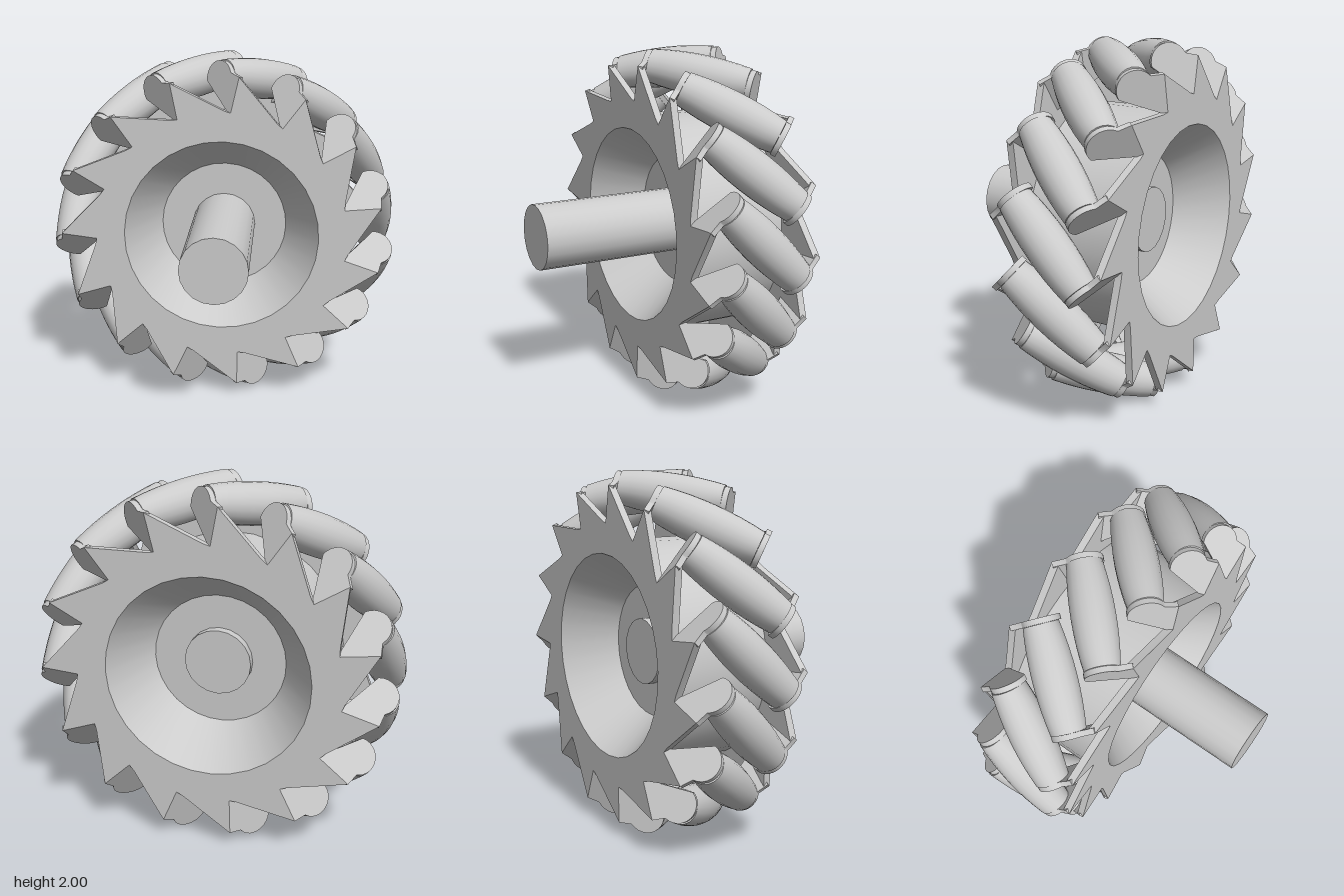
import * as THREE from 'three';
import { toCreasedNormals } from 'three/addons/utils/BufferGeometryUtils.js';

const COUNT = 15;              // rollers around the wheel
const STEP = (Math.PI * 2) / COUNT;
const HALF = 0.33;             // half width of the wheel
const FOLD = -0.11;            // where each tab bends away from its plate
const AXIS_R = 0.885;          // distance of roller axles from the wheel centre

const material = new THREE.MeshStandardMaterial({ color: 0xcccccc });

function part(name, geometry, parent, crease = 0.6) {
  const mesh = new THREE.Mesh(toCreasedNormals(geometry, crease), material);
  mesh.name = name;
  parent.add(mesh);
  return mesh;
}

const lathe = (points, sides) =>
  new THREE.LatheGeometry(points.map(([r, y]) => new THREE.Vector2(r, y)), sides);

// Sawtooth ring, one tooth for each roller
function plateGeometry() {
  const shape = new THREE.Shape();
  const slit = Math.PI / 2 + Math.atan2(-FOLD, 0.715) - STEP + 0.055;
  const tooth = [
    [0.735 * Math.cos(slit), 0.735 * Math.sin(slit)],
    [FOLD, 0.92],
    [FOLD, 0.715],
  ].map(([x, y]) => new THREE.Vector2(x, y));
  const points = [];
  for (let i = 0; i < COUNT; i++) {
    for (const p of tooth) points.push(p.clone().rotateAround(new THREE.Vector2(), i * STEP));
  }
  shape.setFromPoints(points);
  shape.holes.push(new THREE.Path().absarc(0, 0, 0.56, 0, Math.PI * 2, true));
  return new THREE.ExtrudeGeometry(shape, { depth: 0.04, bevelEnabled: false, curveSegments: 16 })
    .translate(0, 0, HALF - 0.04);
}

// Rounded ear folded back 45 degrees to face a roller end
function tabGeometry() {
  const shape = new THREE.Shape();
  shape.moveTo(0, 0.715);
  shape.lineTo(0, 0.92);
  shape.lineTo(-0.07, 0.925);
  shape.absarc(-0.155, 0.87, 0.1, 0.6, Math.PI + 0.4, false);
  shape.lineTo(-0.03, 0.715);
  return new THREE.ExtrudeGeometry(shape, { depth: 0.03, bevelEnabled: false, curveSegments: 6 })
    .translate(0, 0, -0.03)
    .rotateY(-Math.PI / 4)
    .translate(FOLD, 0, HALF);
}

// Lay a part built along y onto the slanted roller axle
const slant = (geometry) =>
  geometry.rotateX(Math.PI / 2).rotateY(-Math.PI / 4).translate(0, AXIS_R, 0);

// Barrel whose outline follows the round rim of the wheel
function rollerGeometry() {
  const profile = [[0, -0.28]];
  for (let i = 0; i <= 8; i++) {
    const t = -0.28 + 0.07 * i;
    profile.push([1 - Math.hypot(AXIS_R, t * Math.SQRT1_2), t]);
  }
  profile.push([0, 0.28]);
  return slant(lathe(profile, 20));
}

export function createModel() {
  const model = new THREE.Group();
  model.name = 'rollerWheel';

  const wheel = new THREE.Group();
  wheel.name = 'wheel';
  wheel.position.set(0, 1, -0.29);
  wheel.rotation.z = THREE.MathUtils.degToRad(-13);
  model.add(wheel);

  // Drum with a dished face on both sides
  part('hub', lathe([
    [0, -0.05], [0.37, -0.05], [0.56, -HALF], [0.63, -0.3],
    [0.63, 0.3], [0.56, HALF], [0.37, 0.05], [0, 0.05],
  ], 32).rotateX(Math.PI / 2), wheel);

  // Toothed plates: the back one is the front one turned half round
  const plateGeo = plateGeometry();
  const tabGeo = tabGeometry();
  for (const [name, turn] of [['front', 0], ['back', Math.PI]]) {
    const side = new THREE.Group();
    side.name = name + 'Side';
    side.rotation.y = turn;
    wheel.add(side);
    part(name + 'Plate', plateGeo, side);
    for (let i = 0; i < COUNT; i++) {
      part(name + 'Tab', tabGeo, side).rotation.z = i * STEP;
    }
  }

  // Slanted rollers on their axle pins
  const rollerGeo = rollerGeometry();
  const pinGeo = slant(new THREE.CylinderGeometry(0.04, 0.04, 0.6, 12));
  for (let i = 0; i < COUNT; i++) {
    const spoke = new THREE.Group();
    spoke.name = 'rollerUnit';
    spoke.rotation.z = i * STEP;
    wheel.add(spoke);
    part('roller', rollerGeo, spoke);
    part('axlePin', pinGeo, spoke);
  }

  // Drive shaft, showing a little behind the web
  part('shaft', new THREE.CylinderGeometry(0.185, 0.185, 1.01, 20)
    .rotateX(Math.PI / 2).translate(0, 1, 0.115), model);

  return model;
}
